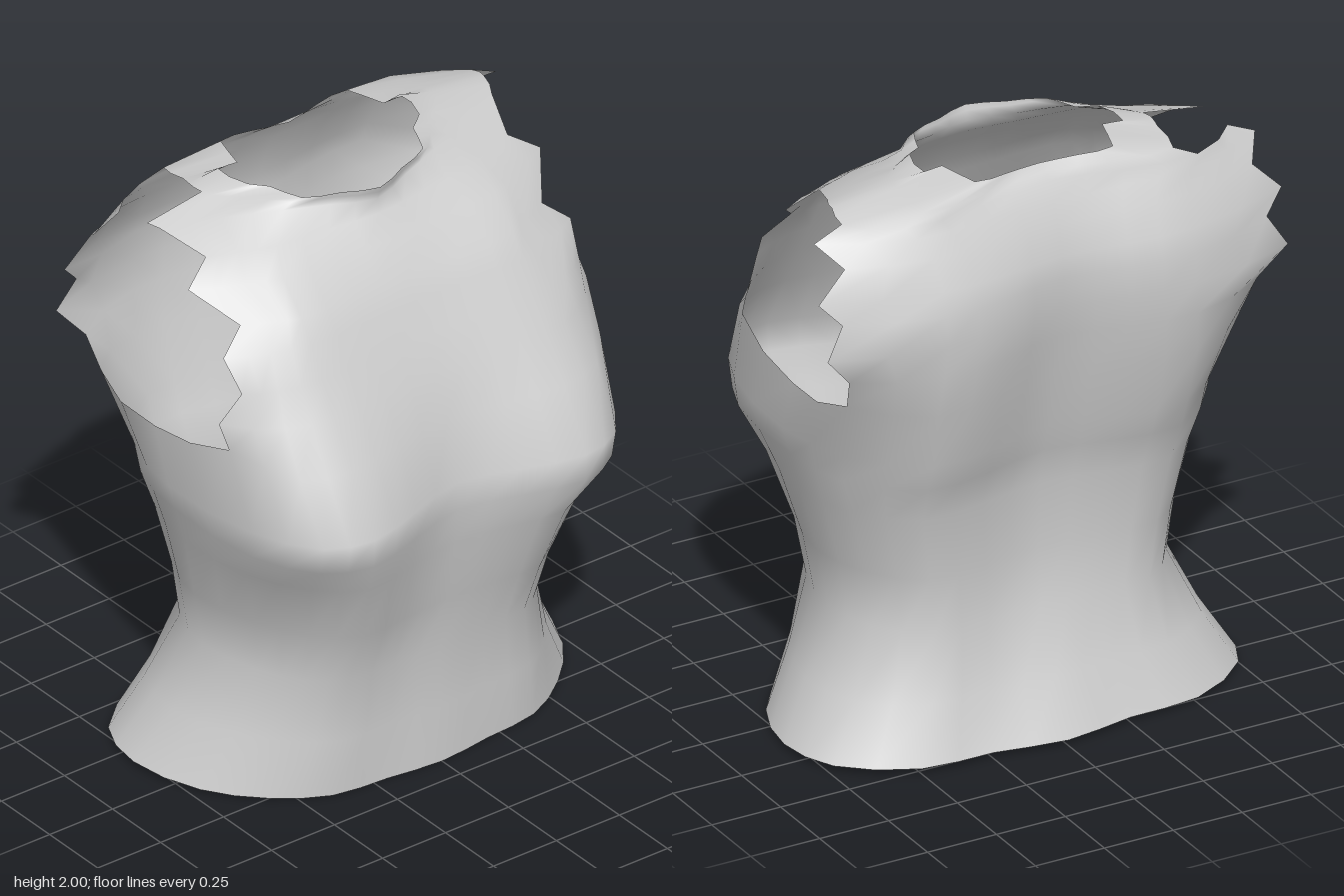
import * as THREE from 'three';

// Each ring: y, front centre z, then x,z of bust, front corner, front arm edge,
// side, back arm edge, shoulder blade, and last the spine z.
const bodyRings = [
  [0.00, 0.405, 0.40, 0.36, 0.575, 0.255, 0.72, 0.09, 0.795, -0.16, 0.735, -0.37, 0.50, -0.525, -0.58],
  [0.20, 0.40, 0.375, 0.37, 0.505, 0.275, 0.615, 0.13, 0.685, -0.10, 0.63, -0.32, 0.43, -0.46, -0.49],
  [0.42, 0.395, 0.35, 0.375, 0.46, 0.295, 0.54, 0.15, 0.585, -0.07, 0.535, -0.26, 0.39, -0.41, -0.40],
  [0.62, 0.435, 0.35, 0.455, 0.48, 0.34, 0.57, 0.175, 0.62, -0.07, 0.56, -0.27, 0.41, -0.42, -0.385],
  [0.85, 0.475, 0.39, 0.535, 0.535, 0.425, 0.64, 0.23, 0.675, -0.05, 0.62, -0.28, 0.45, -0.44, -0.39],
  [0.98, 0.49, 0.42, 0.60, 0.58, 0.53, 0.69, 0.32, 0.71, -0.05, 0.66, -0.30, 0.46, -0.49, -0.42],
  [1.08, 0.49, 0.42, 0.605, 0.58, 0.55, 0.70, 0.33, 0.74, -0.05, 0.67, -0.32, 0.46, -0.525, -0.45],
  [1.28, 0.43, 0.42, 0.49, 0.59, 0.44, 0.72, 0.24, 0.74, -0.12, 0.72, -0.43, 0.47, -0.575, -0.49],
];
// Rings beside the armholes; the arm edges step in and out to make the ragged cut.
// The side point lies in the opening and only steers the curve at both edges.
const armRings = [
  [1.43, 0.375, 0.42, 0.40, 0.58, 0.35, 0.73, 0.20, 0.88, -0.25, 0.74, -0.48, 0.46, -0.60, -0.52],
  [1.54, 0.315, 0.42, 0.335, 0.57, 0.30, 0.67, 0.24, 1.00, -0.33, 0.835, -0.51, 0.45, -0.605, -0.54],
  [1.645, 0.265, 0.42, 0.275, 0.55, 0.235, 0.69, 0.17, 0.95, -0.33, 0.77, -0.49, 0.45, -0.60, -0.545],
  [1.72, 0.22, 0.42, 0.225, 0.50, 0.19, 0.60, 0.14, 1.00, -0.33, 0.84, -0.46, 0.45, -0.575, -0.54],
  [1.82, 0.15, 0.42, 0.13, 0.53, 0.085, 0.70, 0.00, 0.90, -0.33, 0.74, -0.45, 0.46, -0.53, -0.51],
  [1.885, 0.085, 0.38, 0.045, 0.50, 0.00, 0.60, -0.04, 0.90, -0.25, 0.80, -0.36, 0.50, -0.49, -0.48],
];
// Shoulder, yoke and neck rings as eight x,y,z points from front centre to spine
const collarRings = [
  [[0, 1.93, 0.07], [0.30, 1.95, -0.03], [0.48, 1.945, -0.12], [0.66, 1.935, -0.20],
    [0.69, 1.95, -0.28], [0.70, 1.93, -0.36], [0.53, 1.92, -0.47], [0, 1.95, -0.45]],
  [[0, 1.96, 0.08], [0.27, 1.975, -0.02], [0.37, 1.97, -0.14], [0.45, 1.975, -0.21],
    [0.47, 1.98, -0.27], [0.46, 1.975, -0.34], [0.45, 1.955, -0.455], [0, 1.97, -0.425]],
  [[0, 1.98, 0.085], [0.24, 1.985, -0.01], [0.285, 1.99, -0.12], [0.34, 2.0, -0.16],
    [0.36, 2.0, -0.29], [0.29, 2.0, -0.28], [0.25, 1.995, -0.42], [0, 1.985, -0.39]],
];

const COLS = 36;

function pointsFromRing([y, front, ...rest]) {
  const spine = rest.pop();
  const pts = [[0, y, front]];
  for (let i = 0; i < rest.length; i += 2) pts.push([rest[i], y, rest[i + 1]]);
  return [...pts, [0, y, spine]];
}

// Fill in the points beside the centre lines, mirror, and smooth round the ring
function sampleRing(points) {
  const half = points.map((p) => new THREE.Vector3(...p));
  const frontMid = half[0].clone().lerp(half[1], 0.5);
  const backMid = half[7].clone().lerp(half[6], 0.75);
  backMid.x = half[6].x * 0.5;
  half.splice(7, 0, backMid);
  half.splice(1, 0, frontMid);
  const mirrored = half.slice(1, -1).reverse().map((p) => new THREE.Vector3(-p.x, p.y, p.z));
  const curve = new THREE.CatmullRomCurve3([...half, ...mirrored], true);
  return Array.from({ length: COLS }, (_, k) => curve.getPoint(k / COLS));
}

function buildShell() {
  const rings = [...[...bodyRings, ...armRings].map(pointsFromRing), ...collarRings].map(sampleRing);
  // The hem rises slightly to the back; the underarm rises to both arm edges
  rings[0].forEach((p) => { p.y = 0.02 * THREE.MathUtils.clamp((0.4 - p.z) / 0.6, 0, 1); });
  const underarm = bodyRings.length - 1;
  rings[underarm].forEach((p, k) => {
    const m = Math.min(k, COLS - k);
    if (m >= 7 && m <= 13) p.y += [0.04, 0.07, 0.02, -0.01, 0, 0.04, 0.02][m - 7];
  });

  const shoulder = underarm + armRings.length + 1;
  const isOpen = (r, k) => {
    const h = k < COLS / 2 ? k : COLS - 1 - k;
    if (r >= underarm && r < shoulder) return h >= 8 && h <= 11; // armholes
    return r === shoulder && k >= COLS / 2 && h >= 9 && h <= 13; // torn shoulder
  };

  const index = [];
  for (let r = 0; r < rings.length - 1; r++) {
    for (let k = 0; k < COLS; k++) {
      if (isOpen(r, k)) continue;
      const n = (k + 1) % COLS;
      const a = r * COLS + k, b = r * COLS + n;
      index.push(a, b, b + COLS, a, b + COLS, a + COLS);
    }
  }
  const geometry = new THREE.BufferGeometry().setFromPoints(rings.flat());
  geometry.setIndex(index);
  geometry.computeVertexNormals();
  return geometry.toNonIndexed();
}

export function createModel() {
  const fabric = new THREE.MeshStandardMaterial({ color: 0xcccccc, side: THREE.DoubleSide });
  fabric.name = 'light grey fabric';
  const shirt = new THREE.Mesh(buildShell(), fabric);
  shirt.name = 'sleevelessShirt';
  const model = new THREE.Group();
  model.name = 'tornShirt';
  model.add(shirt);
  return model;
}
